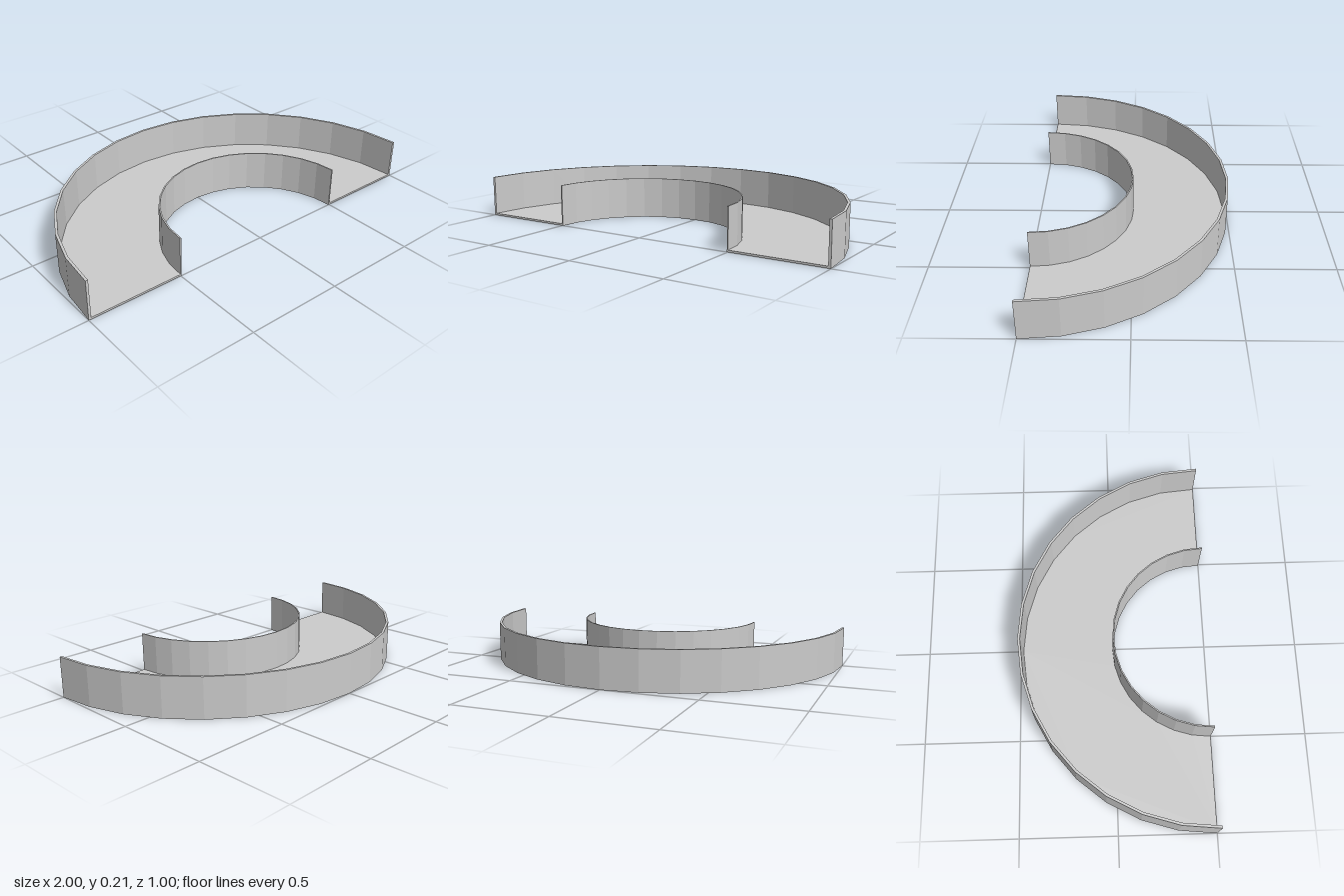
import * as THREE from 'three';

const SEGMENTS = 16;
const CENTRE_Z = 0.5;

// Faceted half ring standing on y = 0, opening towards +z
function halfRing(name, inner, outer, height, material) {
  const points = [];
  for (let i = 0; i <= SEGMENTS; i++) {
    const a = (Math.PI * i) / SEGMENTS;
    points.push(new THREE.Vector2(outer * Math.cos(a), outer * Math.sin(a)));
  }
  for (let i = SEGMENTS; i >= 0; i--) {
    const a = (Math.PI * i) / SEGMENTS;
    points.push(new THREE.Vector2(inner * Math.cos(a), inner * Math.sin(a)));
  }
  const geometry = new THREE.ExtrudeGeometry(new THREE.Shape(points), { depth: height, bevelEnabled: false });
  geometry.rotateX(-Math.PI / 2);
  geometry.translate(0, 0, CENTRE_Z);
  const mesh = new THREE.Mesh(geometry, material);
  mesh.name = name;
  return mesh;
}

export function createModel() {
  const group = new THREE.Group();
  group.name = 'curvedChannel';
  const material = new THREE.MeshStandardMaterial({ color: 0xcccccc, flatShading: true });

  // Thin floor between two upright curved walls, ends left open
  group.add(
    halfRing('floor', 0.502, 0.987, 0.01, material),
    halfRing('outerWall', 0.987, 1, 0.212, material),
    halfRing('innerWall', 0.495, 0.502, 0.212, material)
  );
  return group;
}
